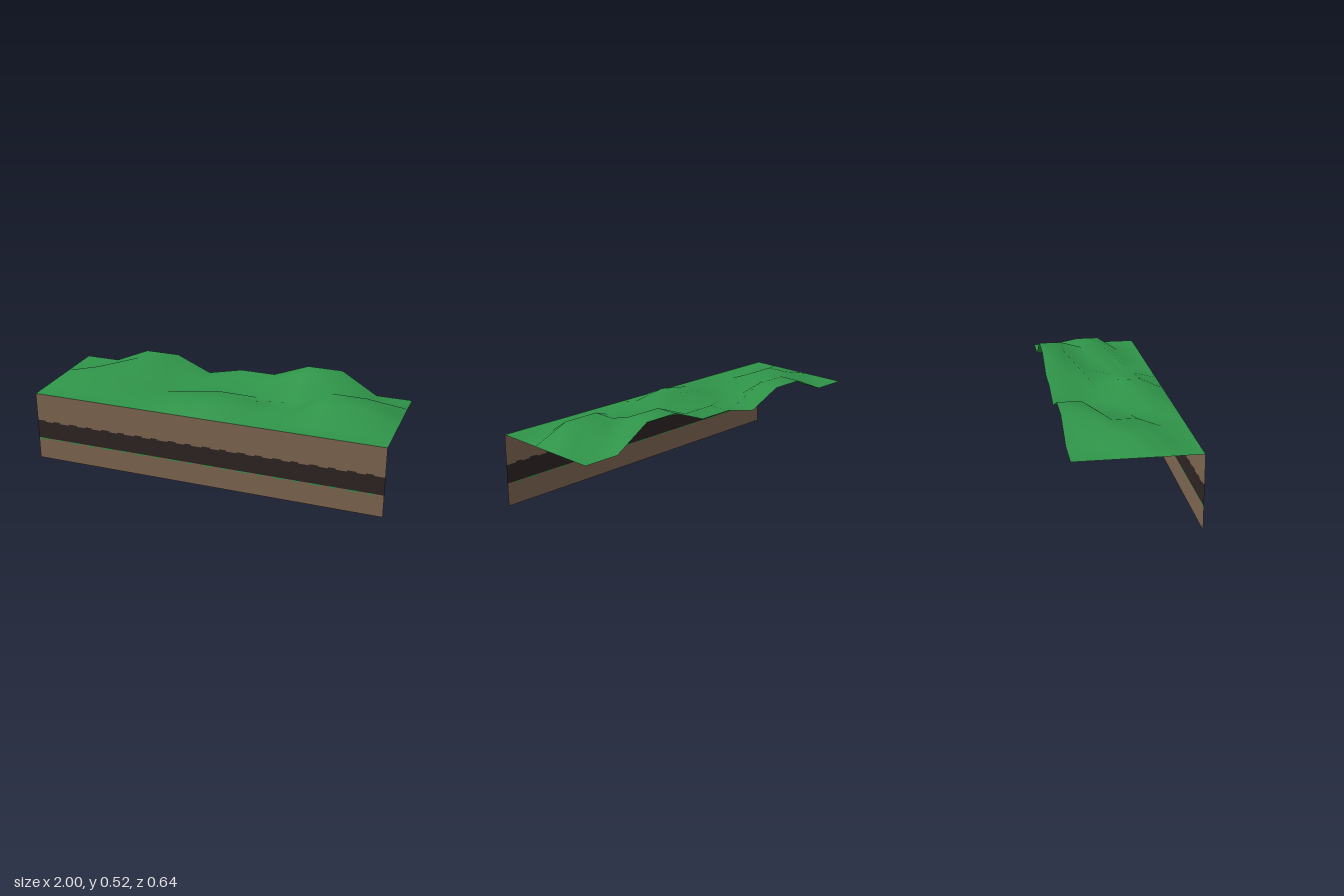
import * as THREE from 'three';

const material = (name, color) =>
  new THREE.MeshStandardMaterial({ name, color, side: THREE.DoubleSide });

const WIDTH = 2, DEPTH = 0.64, GROUND = 0.397;

// Hills on the 10 x 5 grid: first and last column, first and last row (from the back), height
const HILLS = [
  [2, 3, 0, 1, 0.086],
  [5, 6, 0, 1, 0.044],
  [7, 8, 0, 1, 0.121],
  [1, 2, 2, 3, 0.05],
  [8, 9, 2, 3, 0.084],
  [4, 6, 3, 4, 0.031],
  [5, 5, 3, 4, 0.061],
];

export function createModel() {
  const model = new THREE.Group();
  model.name = 'hillSection';
  const grass = material('grassGreen', 0x2f9449);
  const soil = material('soilBrown', 0x7d6550);
  const dark = material('darkEarth', 0x2d2423);

  // Rolling ground sheet
  const ground = new THREE.PlaneGeometry(WIDTH, DEPTH, 10, 5).rotateX(-Math.PI / 2);
  const pos = ground.attributes.position;
  for (let row = 0; row <= 5; row++) {
    for (let col = 0; col <= 10; col++) {
      let h = 0;
      for (const [c0, c1, r0, r1, height] of HILLS) {
        if (col >= c0 && col <= c1 && row >= r0 && row <= r1) h = Math.max(h, height);
      }
      pos.setY(row * 11 + col, GROUND + h);
    }
  }
  ground.computeVertexNormals();
  const terrain = new THREE.Mesh(ground, grass);
  terrain.name = 'grassTerrain';
  model.add(terrain);

  // Front wall, tiled from flat strips in one plane
  const wall = new THREE.Group();
  wall.name = 'frontWall';
  model.add(wall);
  const strip = (name, mat, x0, x1, y0, y1) => {
    const mesh = new THREE.Mesh(new THREE.PlaneGeometry(x1 - x0, y1 - y0), mat);
    mesh.position.set((x0 + x1) / 2, (y0 + y1) / 2, DEPTH / 2);
    mesh.name = name;
    wall.add(mesh);
  };
  strip('lowerSoil', soil, -1, 1, 0, 0.12);
  strip('darkLayer', dark, -1, 1, 0.127, 0.229);
  strip('upperSoil', soil, -1, 1, 0.236, GROUND);

  // Ragged edges of the dark layer, repeated along the wall
  for (let i = 0; i < 10; i++) {
    const x = -1 + i * 0.2;
    strip('grassFleck', grass, x, x + 0.07, 0.12, 0.127);
    strip('soilFleck', soil, x + 0.07, x + 0.11, 0.12, 0.127);
    strip('grassFleck', grass, x + 0.11, x + 0.15, 0.12, 0.127);
    strip('soilFleck', soil, x + 0.15, x + 0.2, 0.12, 0.127);
    strip('darkBump', dark, x, x + 0.05, 0.229, 0.236);
    strip('soilGap', soil, x + 0.05, x + 0.1, 0.229, 0.236);
    strip('darkBump', dark, x + 0.1, x + 0.14, 0.229, 0.236);
    strip('soilGap', soil, x + 0.14, x + 0.2, 0.229, 0.236);
  }
  return model;
}
